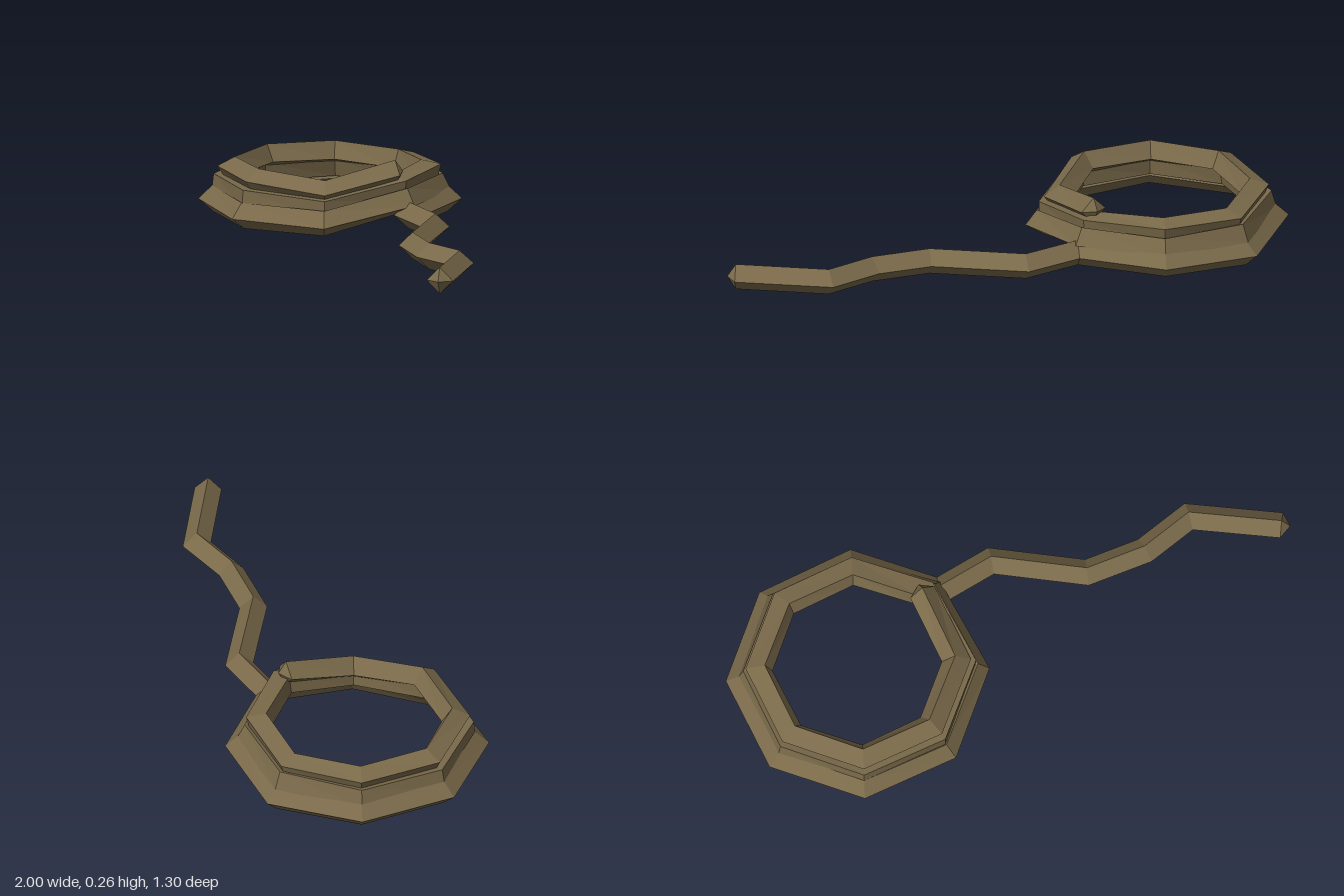
import * as THREE from 'three';

const HALF = 0.05; // half diagonal of the square section

// Sweep a square section along a polyline with mitred corners and pointed ends.
// Each stop is { p, twist }; at twist 0 the section stands on one corner.
function ropeGeometry(stops) {
  const path = stops.map((s) => s.p);
  const last = path.length - 1;
  const up = new THREE.Vector3(0, 1, 0);
  const flat = (a, b) => b.clone().sub(a).setY(0).normalize();
  const rings = stops.map(({ p, twist }, i) => {
    const before = flat(path[Math.max(i - 1, 0)], path[Math.max(i, 1)]);
    const after = flat(path[Math.min(i, last - 1)], path[Math.min(i + 1, last)]);
    const dir = before.clone().add(after).normalize();
    const side = new THREE.Vector3().crossVectors(dir, up).divideScalar(dir.dot(after));
    return [0, 1, 2, 3].map((j) => {
      const t = twist + (j * Math.PI) / 2;
      return p.clone().addScaledVector(up, HALF * Math.cos(t)).addScaledVector(side, HALF * Math.sin(t));
    });
  });
  const tip = (end, prev) => end.clone().addScaledVector(end.clone().sub(prev).normalize(), 0.032);
  const start = tip(path[0], path[1]);
  const finish = tip(path[last], path[last - 1]);

  const points = [];
  for (let j = 0; j < 4; j++) {
    const k = (j + 1) % 4;
    for (let i = 0; i < last; i++) {
      const [a, b, c, d] = [rings[i][j], rings[i][k], rings[i + 1][k], rings[i + 1][j]];
      points.push(a, b, c, a, c, d);
    }
    points.push(start, rings[0][k], rings[0][j]);
    points.push(finish, rings[last][j], rings[last][k]);
  }
  const geometry = new THREE.BufferGeometry().setFromPoints(points);
  geometry.computeVertexNormals();
  return geometry;
}

export function createModel() {
  const group = new THREE.Group();
  group.name = 'coiledRope';
  const ropeBrown = new THREE.MeshStandardMaterial({ color: 0x7a6a4a });
  ropeBrown.name = 'ropeBrown';

  // Loose tail, from its free end to the coil
  const stops = [
    [0.957, 0.095, 0.617], [0.755, 0.088, 0.337], [0.55, 0.08, 0.303],
    [0.345, 0.073, 0.2], [0.143, 0.07, -0.095], [-0.075, 0.07, -0.16],
  ].map((p) => ({ p: new THREE.Vector3(...p), twist: 0 }));

  // Three stacked octagonal turns, each a little narrower; heights at every 45 degrees
  const turns = [
    { radius: 0.434, heights: [0.07, 0.05, 0.06, 0.06, 0.06, 0.06, 0.06], endRadius: 0.41, endY: 0.12 },
    { radius: 0.397, heights: [0.118, 0.115, 0.115, 0.115, 0.115, 0.12, 0.11], endRadius: 0.375, endY: 0.165 },
    { radius: 0.365, heights: [0.172, 0.158, 0.165, 0.168, 0.17, 0.177, 0.157], endRadius: 0.358, endY: 0.215 },
  ];
  turns.forEach(({ radius, heights, endRadius, endY }, turn) => {
    [...heights, endY].forEach((y, i) => {
      const angle = ((i + 1) * Math.PI) / 4;
      const r = i === 7 ? endRadius : radius;
      // The rope rolls a quarter turn on its way up the coil
      const roll = Math.max(0, turn * 8 + i + 1 - 4.5) * 4.6;
      stops.push({
        p: new THREE.Vector3(-0.515 + r * Math.cos(angle), y, -0.166 - r * Math.sin(angle)),
        twist: THREE.MathUtils.degToRad(roll),
      });
    });
  });

  const rope = new THREE.Mesh(ropeGeometry(stops), ropeBrown);
  rope.name = 'rope';
  group.add(rope);
  return group;
}
